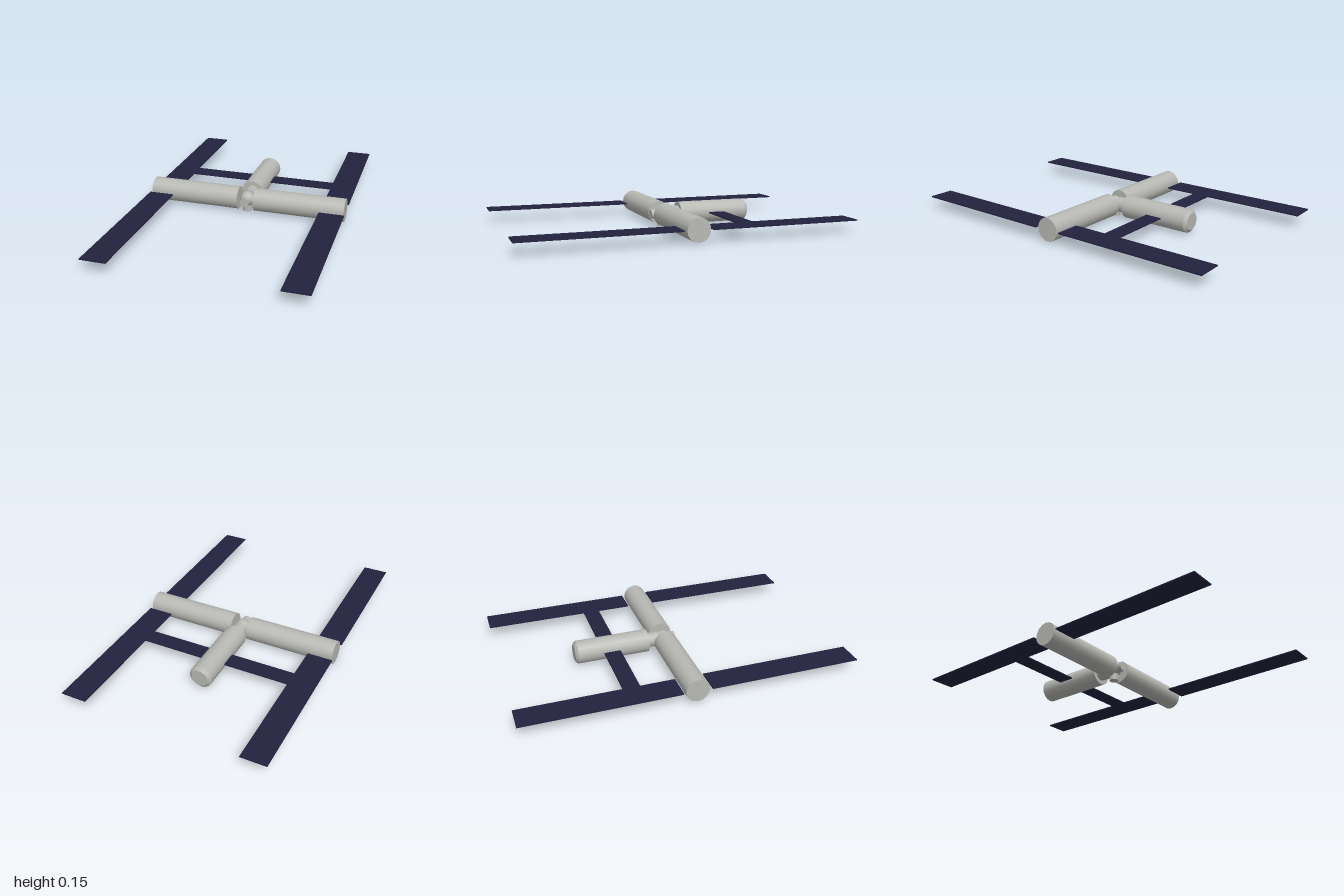
import * as THREE from 'three';

export function createModel() {
  const group = new THREE.Group();
  const hull = new THREE.MeshStandardMaterial({ color: 0xb8b8b4 });
  hull.name = 'hull grey';
  const solar = new THREE.MeshStandardMaterial({ color: 0x22223f });
  solar.name = 'solar navy';
  const Y = 0.077; // height of the station axis

  const add = (name, geometry, material, x, y, z) => {
    const mesh = new THREE.Mesh(geometry, material);
    mesh.name = name;
    mesh.position.set(x, y, z);
    group.add(mesh);
    return mesh;
  };
  // Cylinder running along z between z0 (radius r0) and z1 (radius r1)
  const tubeZ = (name, z0, z1, r0, r1 = r0, sides = 16) =>
    add(name, new THREE.CylinderGeometry(r1, r0, z1 - z0, sides).rotateX(Math.PI / 2),
      hull, 0, Y, (z0 + z1) / 2);

  // Hub with forward and lower docking ports
  add('hub', new THREE.SphereGeometry(0.046, 20, 14), hull, 0, Y, 0);
  tubeZ('forwardPort', 0.02, 0.073, 0.029);
  add('lowerPort', new THREE.CylinderGeometry(0.028, 0.028, 0.05, 16), hull, 0, 0.025, 0);

  // Aft module: neck, body and tapered end cap
  tubeZ('aftNeck', -0.11, -0.03, 0.045);
  tubeZ('aftModule', -0.545, -0.105, 0.07);
  tubeZ('aftCap', -0.561, -0.545, 0.051, 0.07);

  for (const side of [1, -1]) {
    // Side modules
    add('sideModule', new THREE.CylinderGeometry(0.07, 0.07, 0.56, 16).rotateZ(Math.PI / 2),
      hull, side * 0.331, Y, 0);
    // Long solar wings fore and aft of each side module
    for (const end of [1, -1]) {
      add('solarWing', new THREE.BoxGeometry(0.152, 0.007, 0.915), solar,
        side * 0.541, Y, end * 0.5425);
    }
    // Cross panels beside the aft module
    add('crossPanel', new THREE.BoxGeometry(0.41, 0.007, 0.1), solar, side * 0.265, Y, -0.34);
  }
  return group;
}
